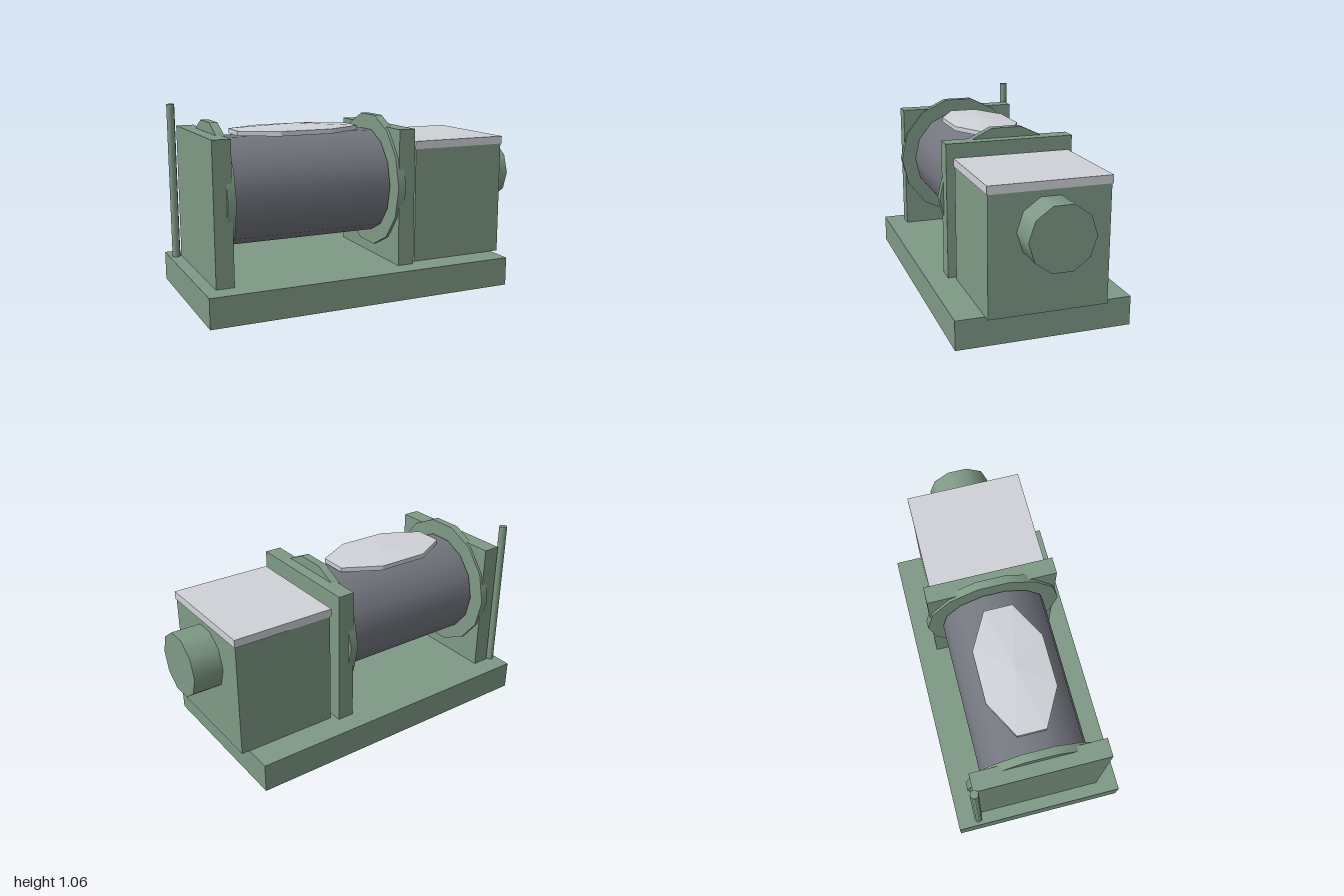
import * as THREE from 'three';

const green = new THREE.MeshStandardMaterial({ color: 0x7f9a86 });
const steel = new THREE.MeshStandardMaterial({ color: 0x74767f });
const pale = new THREE.MeshStandardMaterial({ color: 0xd0d2d8 });
const paleFlat = new THREE.MeshStandardMaterial({ color: 0xd0d2d8, flatShading: true });

const AXIS_Y = 0.613; // height of the drum axis
const BASE_TOP = 0.165;

export function createModel() {
  const model = new THREE.Group();
  model.name = 'winch';

  const add = (name, geometry, material) => {
    const mesh = new THREE.Mesh(geometry, material);
    mesh.name = name;
    model.add(mesh);
    return mesh;
  };
  // Box given by its x and y ranges and half depth
  const box = (name, x0, x1, y0, y1, halfZ, material = green) =>
    add(name, new THREE.BoxGeometry(x1 - x0, y1 - y0, 2 * halfZ), material)
      .position.set((x0 + x1) / 2, (y0 + y1) / 2, 0);
  // Cylinder lying along x on the drum axis
  const barrel = (name, x0, x1, radius, sides, material = green) => {
    const geometry = new THREE.CylinderGeometry(radius, radius, x1 - x0, sides).rotateZ(-Math.PI / 2);
    add(name, geometry, material).position.set((x0 + x1) / 2, AXIS_Y, 0);
  };

  box('base', -1, 0.79, 0, BASE_TOP, 0.49);

  // Upright brackets
  box('rightBracket', -0.93, -0.83, BASE_TOP, 0.94, 0.37);
  box('leftBracket', 0.133, 0.23, BASE_TOP, 0.94, 0.37);

  // Drum with its flanges and hubs
  barrel('drum', -0.805, 0.11, 0.305, 14, steel);
  barrel('rightFlange', -0.86, -0.815, 0.393, 14);
  barrel('leftFlange', 0.118, 0.165, 0.393, 14);
  barrel('rightHub', -0.82, -0.8, 0.245, 10);
  barrel('leftHub', 0.105, 0.125, 0.245, 10);

  // Gearbox, lid and motor
  box('gearbox', 0.26, 0.835, BASE_TOP, 0.82, 0.33);
  box('gearboxLid', 0.255, 0.84, 0.82, 0.865, 0.335, pale);
  barrel('motor', 0.83, 1, 0.18, 10);

  // Stretched octagonal cap over the drum
  const r = 1 / Math.cos(Math.PI / 8);
  const profile = [[0, 0.895], [r, 0.917], [r, 0.943], [0, 0.965]].map(([x, y]) => new THREE.Vector2(x, y));
  const cap = add('drumCap', new THREE.LatheGeometry(profile, 8, Math.PI / 8), paleFlat);
  cap.scale.set(0.358, 1, 0.195);
  cap.position.x = -0.348;

  // Lever rod at the back corner
  add('leverRod', new THREE.CylinderGeometry(0.023, 0.023, 0.9, 8), green)
    .position.set(-0.96, BASE_TOP + 0.45, -0.368);

  return model;
}
